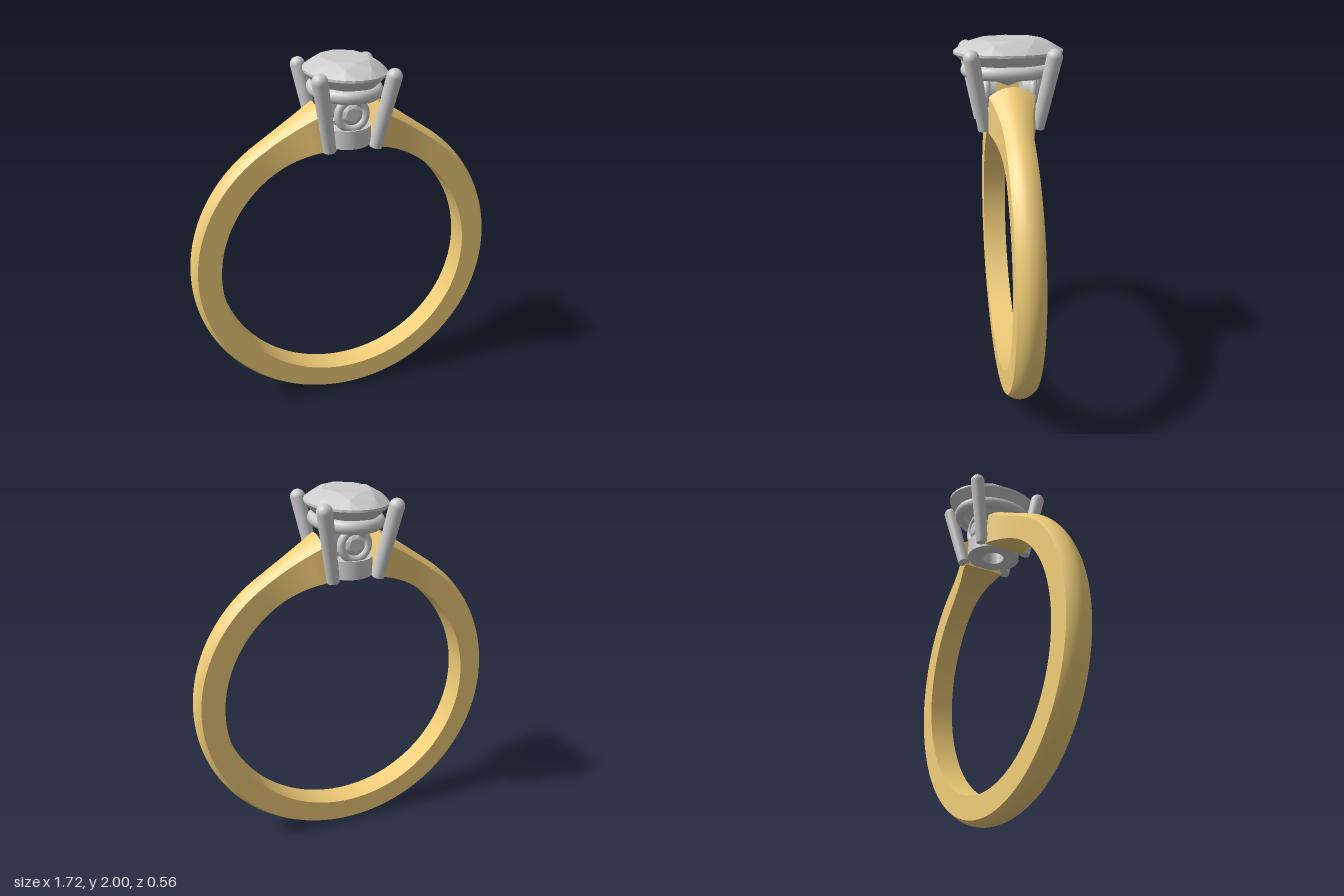
import * as THREE from 'three';
import { toCreasedNormals } from 'three/addons/utils/BufferGeometryUtils.js';
import { ConvexGeometry } from 'three/addons/geometries/ConvexGeometry.js';

const CY = 0.865; // height of the band's centre

const gold = new THREE.MeshStandardMaterial({ color: 0xf0cc78 });
const grey = new THREE.MeshStandardMaterial({ color: 0xcccccc });
const facet = new THREE.MeshStandardMaterial({ color: 0xcccccc, flatShading: true });

function add(parent, name, geometry, material) {
  const mesh = new THREE.Mesh(geometry, material);
  mesh.name = name;
  parent.add(mesh);
  return mesh;
}

// Open band: flat inside and sides, domed outside, with flared raised shoulders
function bandGeometry() {
  const start = 0.18, steps = 144, dome = 12, inner = 0.705, outer = 0.86, lift = 0.585;
  const n = dome + 3;
  const pos = [], index = [];
  for (let i = 0; i <= steps; i++) {
    const a = start + (2 * Math.PI - 2 * start) * i / steps;
    const fromTop = Math.min(a, 2 * Math.PI - a);
    const crown = fromTop < lift ? outer / Math.cos(lift - fromTop) : outer;
    const ring = (r, z) => pos.push(r * Math.sin(a), CY + r * Math.cos(a), z);
    // the flare depends on the distance from the middle
    const width = r => {
      const f = THREE.MathUtils.clamp((0.46 - r * Math.abs(Math.sin(a))) / 0.3, 0, 1);
      return 0.07 + (fromTop < 1 ? 0.05 * f * f : 0);
    };
    const wi = width(inner), wo = width(crown);
    const rise = 0.03 + 0.4 * (wo - 0.07);
    ring(inner, -wi);
    ring(inner, wi);
    for (let j = 0; j <= dome; j++) {
      const t = 1 - 2 * j / dome;
      ring(crown - rise * t * t, wo * t);
    }
  }
  for (let i = 0; i < steps; i++) {
    for (let j = 0; j < n; j++) {
      const k = (j + 1) % n;
      const a = i * n + j, b = i * n + k, c = a + n, d = b + n;
      index.push(a, c, b, b, c, d);
    }
  }
  // end caps
  const e = steps * n;
  for (let j = 1; j < n - 1; j++) index.push(0, j, j + 1, e, e + j + 1, e + j);
  const g = new THREE.BufferGeometry();
  g.setAttribute('position', new THREE.Float32BufferAttribute(pos, 3));
  g.setIndex(index);
  return toCreasedNormals(g, 0.55);
}

// Faceted stone with its girdle at y = 0
function gemGeometry(rx, rz) {
  const points = [];
  const ring = (scale, y, count, shift = 0) => {
    for (let i = 0; i < count; i++) {
      const a = (i + shift) / count * Math.PI * 2;
      points.push(new THREE.Vector3(rx * scale * Math.cos(a), y, rz * scale * Math.sin(a)));
    }
  };
  ring(0.6, 0.065, 8);
  ring(0.83, 0.042, 8, 0.5);
  ring(1, 0.006, 32);
  ring(1, -0.006, 32);
  ring(0.55, -0.115, 8, 0.5);
  points.push(new THREE.Vector3(0, -0.175, 0));
  return new ConvexGeometry(points);
}

export function createModel() {
  const model = new THREE.Group();
  add(model, 'band', bandGeometry(), gold);

  const head = new THREE.Group();
  head.name = 'head';
  model.add(head);

  // Main oval stone
  add(head, 'ovalStone', gemGeometry(0.205, 0.28), facet).position.y = 1.935;

  // Oval rail under the stone
  const oval = new THREE.EllipseCurve(0, 0, 0.155, 0.21).getPoints(32).slice(0, -1)
    .map(p => new THREE.Vector3(p.x, 1.845, p.y));
  add(head, 'galleryRail', new THREE.TubeGeometry(
    new THREE.CatmullRomCurve3(oval, true), 72, 0.035, 14, true), grey);

  // Base drum with a round bore
  const outline = new THREE.Shape().absellipse(0, 0, 0.135, 0.155, 0, Math.PI * 2);
  outline.holes.push(new THREE.Path().absarc(0, 0, 0.06, 0, Math.PI * 2, true));
  const drum = new THREE.ExtrudeGeometry(outline, { depth: 0.095, bevelEnabled: false, curveSegments: 32 });
  drum.rotateX(-Math.PI / 2);
  add(head, 'baseDrum', toCreasedNormals(drum, 0.6), grey).position.y = 1.565;

  // Four leaning prongs with rounded tips
  const up = new THREE.Vector3(0, 1, 0);
  for (const sx of [-1, 1]) for (const sz of [-1, 1]) {
    const foot = new THREE.Vector3(sx * 0.122, 1.565, sz * 0.138);
    const tip = new THREE.Vector3(sx * 0.187, 1.93, sz * 0.203);
    const axis = tip.clone().sub(foot);
    const prong = new THREE.Group();
    prong.name = 'prong';
    prong.position.copy(foot);
    prong.quaternion.setFromUnitVectors(up, axis.clone().normalize());
    const h = axis.length();
    add(prong, 'prongShaft', new THREE.CylinderGeometry(0.04, 0.033, h, 24), grey).position.y = h / 2;
    add(prong, 'prongTip', new THREE.SphereGeometry(0.04, 24, 16), grey).position.y = h;
    head.add(prong);
  }

  // Small round stone in a rim, front and back
  for (const s of [1, -1]) {
    const side = new THREE.Group();
    side.name = 'sideStoneSetting';
    side.position.set(0, 1.737, s * 0.12);
    side.rotation.y = s > 0 ? 0 : Math.PI;
    add(side, 'sideStoneRim', new THREE.TorusGeometry(0.072, 0.021, 14, 40), grey);
    const cup = add(side, 'sideStoneCup', new THREE.CylinderGeometry(0.08, 0.07, 0.05, 32), grey);
    cup.rotation.x = Math.PI / 2;
    cup.position.z = -0.028;
    const stone = add(side, 'sideStone', gemGeometry(0.2, 0.2), facet);
    stone.rotation.x = Math.PI / 2;
    stone.scale.setScalar(0.29);
    head.add(side);
  }
  return model;
}
